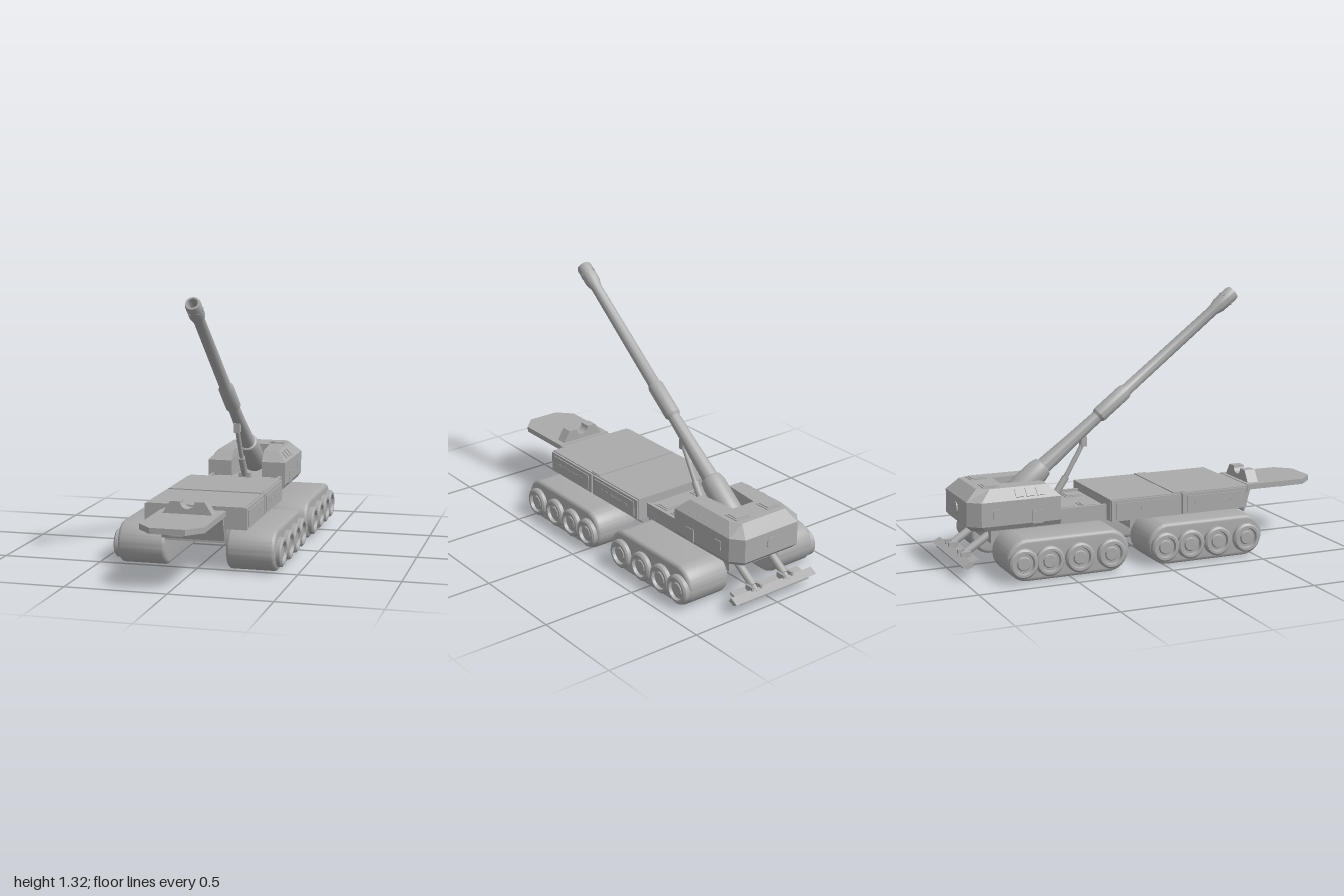
import * as THREE from 'three';
import { toCreasedNormals } from 'three/addons/utils/BufferGeometryUtils.js';

const grey = new THREE.MeshStandardMaterial({ color: 0xaaaaaa });
grey.name = 'plain grey';

export function createModel() {
  const model = new THREE.Group();
  model.name = 'selfPropelledGun';

  const add = (name, geo, x = 0, y = 0, z = 0, parent = model) => {
    const mesh = new THREE.Mesh(geo, grey);
    mesh.name = name;
    mesh.position.set(x, y, z);
    parent.add(mesh);
    return mesh;
  };
  // Box given by its extents on each axis
  const box = (name, x0, x1, y0, y1, z0, z1) =>
    add(name, new THREE.BoxGeometry(x1 - x0, y1 - y0, z1 - z0), (x0 + x1) / 2, (y0 + y1) / 2, (z0 + z1) / 2);
  // Side profile of [z, y] points swept across x and centred
  const sweepX = (pts, width) => {
    const geo = new THREE.ExtrudeGeometry(new THREE.Shape(pts.map(p => new THREE.Vector2(...p))), { depth: width, bevelEnabled: false });
    return geo.translate(0, 0, -width / 2).rotateY(-Math.PI / 2);
  };
  const lathe = (pts, n = 32) =>
    toCreasedNormals(new THREE.LatheGeometry(pts.map(p => new THREE.Vector2(...p)), n), 0.5);
  // Cylinder between two points
  const rod = (name, a, b, r) => {
    const p = new THREE.Vector3(...a), q = new THREE.Vector3(...b);
    const mesh = add(name, new THREE.CylinderGeometry(r, r, p.distanceTo(q), 16));
    mesh.position.copy(p).add(q).multiplyScalar(0.5);
    mesh.quaternion.setFromUnitVectors(new THREE.Vector3(0, 1, 0), q.sub(p).normalize());
    return mesh;
  };
  const hatch = (x, y, z, w, d) => {
    box('hatchFrame', x - w / 2, x + w / 2, y - 0.002, y + 0.004, z - d / 2, z + d / 2);
    box('hatchLid', x - w / 2 + 0.01, x + w / 2 - 0.01, y, y + 0.008, z - d / 2 + 0.01, z + d / 2 - 0.01);
  };

  // Track units: rounded stadium with bevelled edges
  const bevel = 0.018, R = 0.105 - bevel, half = 0.21;
  const trackShape = new THREE.Shape();
  trackShape.absarc(half, 0, R, -Math.PI / 2, Math.PI / 2);
  trackShape.absarc(-half, 0, R, Math.PI / 2, Math.PI * 1.5);
  trackShape.closePath();
  const trackWidth = 0.243;
  const trackGeo = toCreasedNormals(new THREE.ExtrudeGeometry(trackShape, {
    depth: trackWidth - 2 * bevel, bevelThickness: bevel, bevelSize: bevel, bevelSegments: 3, curveSegments: 20,
  }).translate(0, 0, bevel - trackWidth / 2).rotateY(-Math.PI / 2), 0.6);
  const wheelGeo = lathe([[0, 0.02], [0.03, 0.02], [0.035, 0.012], [0.048, 0.012], [0.052, 0.028],
    [0.064, 0.028], [0.073, 0.02], [0.073, -0.01]].reverse());
  const wheelRows = [[0.233, [0.452, 0.289, 0.139, 0]], [-0.504, [-0.289, -0.455, -0.61, -0.743]]];
  for (const s of [1, -1]) {
    for (const [z, wheels] of wheelRows) {
      add('track', trackGeo, s * 0.274, 0.105, z);
      for (const wz of wheels) add('roadWheel', wheelGeo, s * 0.395, 0.095, wz).rotation.z = -s * Math.PI / 2;
    }
  }

  // Hull: deep between the tracks, shallow across the gap
  box('frontHull', -0.155, 0.155, 0.14, 0.24, -0.08, 0.53);
  box('rearHull', -0.155, 0.155, 0.14, 0.24, -0.82, -0.19);
  box('hullBridge', -0.155, 0.155, 0.2, 0.24, -0.2, -0.07);

  // Two equipment boxes with side panels and vents
  for (const [z0, z1] of [[0.166, 0.535], [-0.225, 0.16]]) {
    box('equipmentBox', -0.245, 0.245, 0.21, 0.32, z0, z1);
    for (const s of [1, -1]) {
      const x = s * 0.246;
      add('boxSideWall', new THREE.BoxGeometry(0.02, 0.105, z1 - z0 - 0.006), x, 0.2625, (z0 + z1) / 2);
      add('boxSidePanel', new THREE.BoxGeometry(0.03, 0.08, z1 - z0 - 0.05), x, 0.262, (z0 + z1) / 2);
      for (let i = 0; i < 6; i++)
        add('ventSlat', new THREE.BoxGeometry(0.034, 0.012, 0.025), x, 0.265, (z0 + z1) / 2 + (i - 2.5) * 0.04);
    }
  }
  box('boxSeam', -0.24, 0.24, 0.318, 0.325, 0.12, 0.185);

  // Middle deck, running under the turret
  box('deck', -0.195, 0.195, 0.21, 0.275, -0.74, -0.22);
  for (const s of [1, -1]) {
    add('deckRail', new THREE.BoxGeometry(0.015, 0.02, 0.27), s * 0.188, 0.278, -0.355);
    hatch(s * 0.112, 0.275, -0.415, 0.095, 0.09);
    hatch(s * 0.112, 0.275, -0.295, 0.095, 0.09);
  }

  // Turret: faceted loft with a slot for the gun
  const levels = [ // y, half width, half back width, back z, front z
    [0.215, 0.2, 0.155, -0.92, -0.475], [0.24, 0.215, 0.165, -0.945, -0.475],
    [0.36, 0.215, 0.165, -0.945, -0.475], [0.415, 0.165, 0.135, -0.885, -0.53],
  ];
  const rings = levels.map(([y, w, b, zb, zf]) => {
    const side = [[b, zb], [w, zb + 0.06], [w, zf], [0.085, zf], [0.066, -0.735]];
    return [...side, ...side.map(([x, z]) => [-x, z]).reverse()].map(([x, z]) => new THREE.Vector3(x, y, z));
  });
  const tris = [];
  for (let k = 0; k < rings.length - 1; k++) {
    const lo = rings[k], hi = rings[k + 1];
    lo.forEach((p, i) => {
      const j = (i + 1) % lo.length;
      tris.push(p, hi[i], lo[j], lo[j], hi[i], hi[j]);
    });
  }
  const top = rings[rings.length - 1];
  const cap = ring => THREE.ShapeUtils.triangulateShape(ring.map(p => new THREE.Vector2(p.x, p.z)), []);
  for (const [a, b, c] of cap(top)) tris.push(top[a], top[c], top[b]);
  for (const [a, b, c] of cap(rings[0])) tris.push(rings[0][a], rings[0][b], rings[0][c]);
  const turretGeo = new THREE.BufferGeometry().setFromPoints(tris);
  turretGeo.computeVertexNormals();
  add('turret', turretGeo);

  // Turret fittings
  for (const s of [1, -1]) {
    hatch(s * 0.098, 0.415, -0.807, 0.085, 0.085);
    for (const z of [-0.575, -0.63, -0.685])
      add('sideWindow', new THREE.BoxGeometry(0.045, 0.009, 0.04), s * 0.19, 0.3875, z).rotation.z = -s * 0.833;
    add('sideDoor', new THREE.BoxGeometry(0.008, 0.065, 0.055), s * 0.215, 0.268, -0.597);
    add('sidePort', new THREE.BoxGeometry(0.008, 0.045, 0.045), s * 0.215, 0.3, -0.805);
  }
  add('rearPort', new THREE.CylinderGeometry(0.03, 0.03, 0.012, 24), 0, 0.3, -0.945).rotation.x = Math.PI / 2;

  // Gun, built along +y then raised forward
  const gun = new THREE.Group();
  gun.name = 'gun';
  gun.position.set(0, 0.412, -0.556);
  gun.rotation.x = Math.PI / 2 - Math.atan(0.782);
  model.add(gun);
  add('breech', lathe([[0, -0.16], [0.05, -0.16], [0.06, -0.14], [0.06, 0.05], [0.052, 0.085], [0.042, 0.09], [0, 0.09]]), 0, 0, 0, gun);
  add('barrel', lathe([[0.042, 0.08], [0.034, 0.3], [0.031, 0.46], [0.04, 0.475], [0.04, 0.65], [0.031, 0.67],
    [0.028, 1.29], [0.039, 1.33], [0.039, 1.42], [0.035, 1.432], [0.026, 1.432], [0.024, 1.28], [0, 1.28]]), 0, 0, 0, gun);
  for (let i = 0; i < 6; i++) {
    const a = i * Math.PI / 3 + Math.PI / 6;
    const port = add('muzzlePort', new THREE.CylinderGeometry(0.009, 0.009, 0.004, 12), 0.039 * Math.sin(a), 1.38, 0.039 * Math.cos(a), gun);
    port.rotation.set(Math.PI / 2, 0, -a);
  }

  // Elevating ram
  rod('ramCylinder', [0, 0.28, -0.445], [0, 0.4, -0.365], 0.018);
  rod('ramPiston', [0, 0.39, -0.372], [0, 0.575, -0.265], 0.012);
  box('ramFoot', -0.03, 0.03, 0.27, 0.305, -0.47, -0.42);
  box('ramLug', -0.016, 0.016, 0.55, 0.6, -0.285, -0.255);

  // Front platform with support disc, sloping plate and barrel cradle
  const platform = new THREE.Shape([[-0.157, -0.59], [-0.157, -0.92], [-0.085, -0.997], [0.085, -0.997],
    [0.157, -0.92], [0.157, -0.59]].map(p => new THREE.Vector2(...p)));
  add('frontPlatform', new THREE.ExtrudeGeometry(platform, { depth: 0.028, bevelEnabled: false }).rotateX(-Math.PI / 2), 0, 0.275, 0);
  add('supportDisc', new THREE.CylinderGeometry(0.068, 0.068, 0.026, 32), 0, 0.263, 0.85);
  add('slopingPlate', sweepX([[0.595, 0.303], [0.615, 0.303], [0.573, 0.16], [0.567, 0.165]], 0.314));
  box('platformMount', -0.155, 0.155, 0.275, 0.3, 0.53, 0.6);
  const cradle = new THREE.Shape();
  cradle.moveTo(-0.125, 0.3);
  cradle.lineTo(0.125, 0.3);
  cradle.lineTo(0.085, 0.363);
  cradle.lineTo(0.036, 0.363);
  cradle.absarc(0, 0.363, 0.036, 0, -Math.PI, true);
  cradle.lineTo(-0.085, 0.363);
  cradle.closePath();
  add('barrelCradle', new THREE.ExtrudeGeometry(cradle, { depth: 0.06, bevelEnabled: false }), 0, 0, 0.61);

  // Rear spade on two arms
  add('spadeBlade', sweepX([[-0.9, 0.085], [-0.985, 0.06], [-0.985, 0.05], [-0.9, 0.073]], 0.43));
  add('spadeEdge', sweepX([[-0.94, 0.066], [-0.955, 0.09], [-0.997, 0.068], [-0.975, 0.055]], 0.51));
  for (const s of [1, -1]) {
    const x = s * 0.1;
    rod('spadeArm', [x, 0.175, -0.81], [x, 0.095, -0.935], 0.02);
    rod('spadePiston', [x, 0.11, -0.915], [x, 0.075, -0.965], 0.013);
    for (const d of [-0.026, 0.026]) box('spadeLug', x + d - 0.006, x + d + 0.006, 0.07, 0.105, -0.965, -0.915);
  }
  return model;
}
